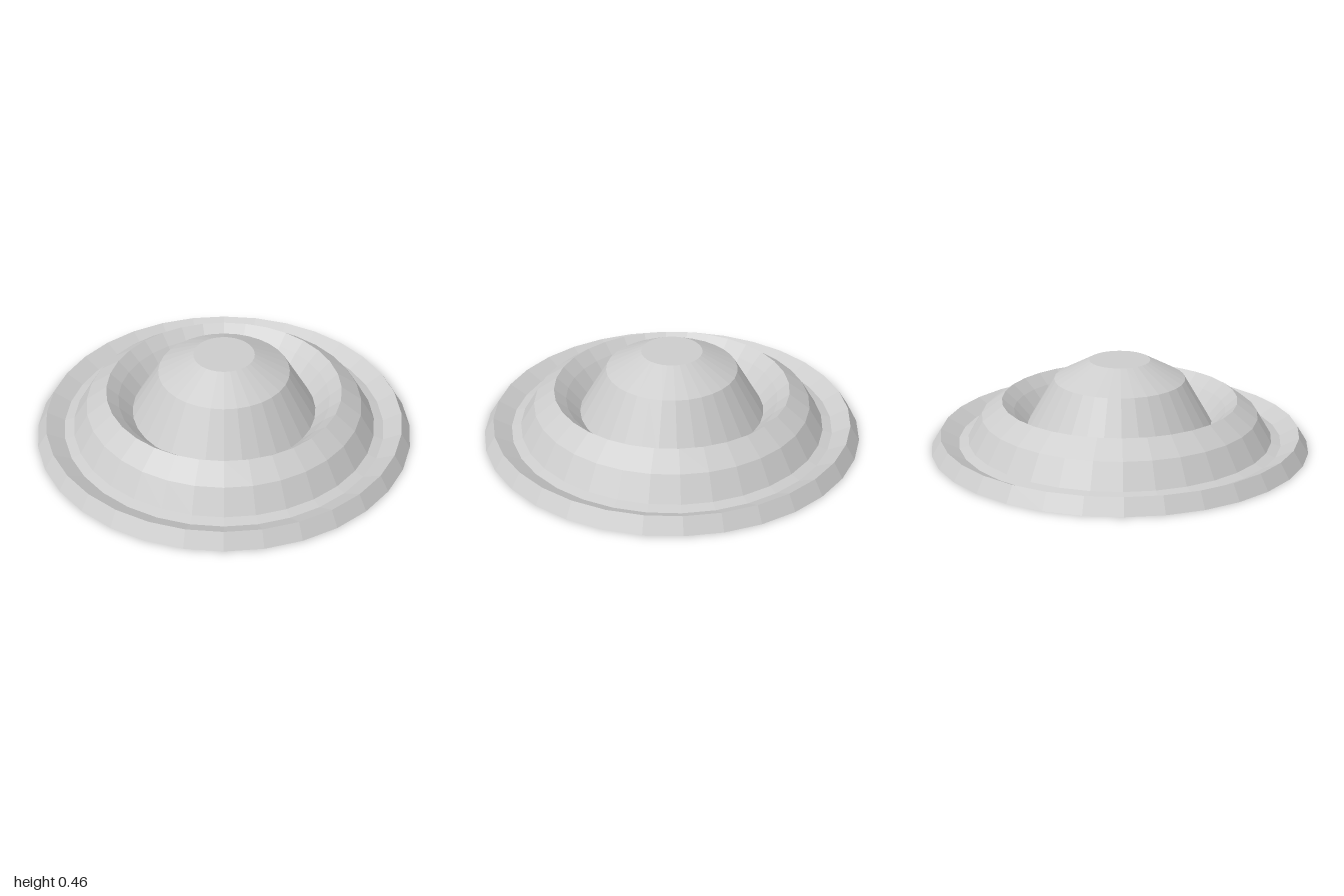
import * as THREE from 'three';

const SIDES = 32;

// Faceted ring or disc turned around the vertical axis; profile runs from the bottom outwards and up.
function turned(name, profile, material) {
  const points = profile.map(([r, y]) => new THREE.Vector2(r, y));
  const mesh = new THREE.Mesh(new THREE.LatheGeometry(points, SIDES), material);
  mesh.name = name;
  return mesh;
}

export function createModel() {
  const model = new THREE.Group();
  model.name = 'steppedDome';
  const grey = new THREE.MeshStandardMaterial({ color: 0xcccccc, flatShading: true });

  // Flat underside, outer rim and the shallow trough behind it
  model.add(turned('outerRim', [[0, 0], [1, 0], [0.95, 0.08], [0.855, 0.03], [0.805, 0.045]], grey));

  // Raised ring with a bevelled outside and a sloping inside wall
  model.add(turned('middleRing', [[0.805, 0.045], [0.73, 0.17], [0.622, 0.25], [0.56, 0.195], [0.488, 0.115]], grey));

  // Central dome with a flat top
  model.add(turned('centreDome', [[0.488, 0.115], [0.345, 0.36], [0.16, 0.46], [0, 0.46]], grey));

  return model;
}
